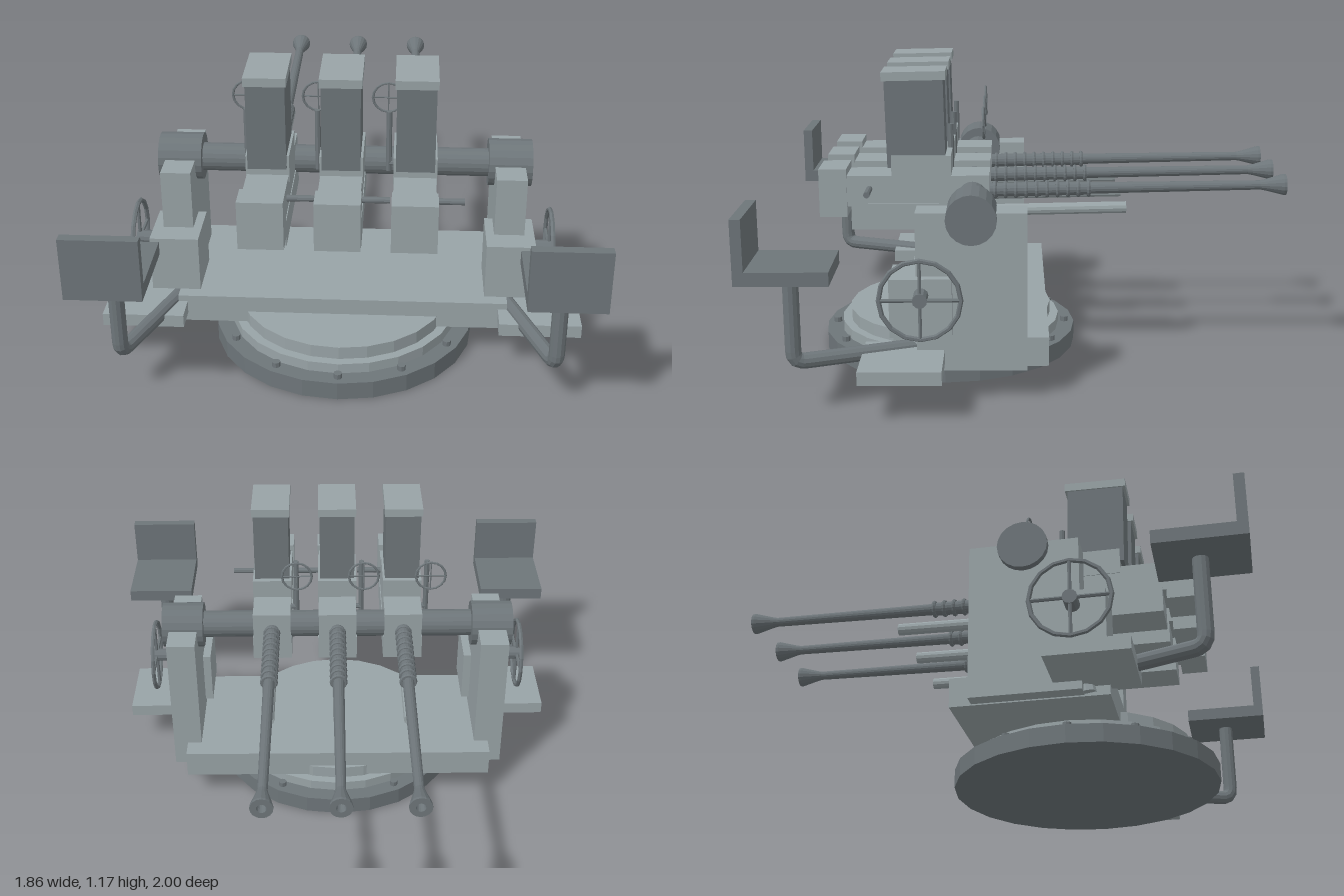
import * as THREE from 'three';

const light = new THREE.MeshStandardMaterial({ color: 0x98a3a6, flatShading: true });
const dark = new THREE.MeshStandardMaterial({ color: 0x6d7579, flatShading: true });

export function createModel() {
  const model = new THREE.Group();
  model.name = 'tripleGunMount';

  const add = (parent, name, geometry, material) => {
    const mesh = new THREE.Mesh(geometry, material);
    mesh.name = name;
    parent.add(mesh);
    return mesh;
  };
  // box given by its limits on each axis
  const box = (parent, name, x, y, z, material) => {
    const g = new THREE.BoxGeometry(x[1] - x[0], y[1] - y[0], z[1] - z[0]);
    g.translate((x[0] + x[1]) / 2, (y[0] + y[1]) / 2, (z[0] + z[1]) / 2);
    return add(parent, name, g, material);
  };
  // round bar between two points, radius r0 at a and r1 at b
  const rod = (parent, name, a, b, r0, r1, material, sides = 16) => {
    const p = new THREE.Vector3(...a), q = new THREE.Vector3(...b);
    const dir = q.clone().sub(p);
    const m = add(parent, name, new THREE.CylinderGeometry(r1, r0, dir.length(), sides), material);
    m.position.copy(p).add(q).multiplyScalar(0.5);
    m.quaternion.setFromUnitVectors(new THREE.Vector3(0, 1, 0), dir.normalize());
    return m;
  };
  const group = (parent, name, x = 0, y = 0, z = 0) => {
    const g = new THREE.Group();
    g.name = name;
    g.position.set(x, y, z);
    parent.add(g);
    return g;
  };
  // rim with a cross of spokes, facing z
  const spokedRing = (parent, name, radius, tube, spoke, sides) => {
    const g = group(parent, name);
    add(g, 'rim', new THREE.TorusGeometry(radius, tube, 6, sides), dark);
    rod(g, 'spokeUpright', [0, -radius, 0], [0, radius, 0], spoke, spoke, dark, 6);
    rod(g, 'spokeLevel', [-radius, 0, 0], [radius, 0, 0], spoke, spoke, dark, 6);
    return g;
  };

  // round base with bolts
  const base = group(model, 'base', 0, 0, 0.31);
  rod(base, 'baseDisc', [0, 0, 0], [0, 0.07, 0], 0.51, 0.51, dark, 24);
  rod(base, 'baseRing', [0, 0.07, 0], [0, 0.11, 0], 0.445, 0.445, light, 24);
  rod(base, 'turntable', [0, 0.11, 0], [0, 0.16, 0], 0.41, 0.41, light, 24);
  for (let i = 0; i < 12; i++) {
    const a = (i / 12) * Math.PI * 2, x = Math.sin(a) * 0.47, z = Math.cos(a) * 0.47;
    rod(base, 'baseBolt', [x, 0.06, z], [x, 0.09, z], 0.016, 0.016, dark, 8);
  }

  // platform and gun axle
  box(model, 'platform', [-0.635, 0.635], [0.115, 0.225], [-0.08, 0.49], light);
  rod(model, 'axle', [-0.56, 0.69, 0.205], [0.56, 0.69, 0.205], 0.055, 0.055, dark, 20);

  // upright, crew seat and handwheel on each side
  for (const s of [1, -1]) {
    const side = group(model, s > 0 ? 'leftStation' : 'rightStation');
    const sbox = (name, x0, x1, y, z, m) =>
      box(side, name, s > 0 ? [x0, x1] : [-x1, -x0], y, z, m);
    sbox('upright', 0.577, 0.692, [0.12, 0.71], [0, 0.4], light);
    rod(side, 'trunnion', [s * 0.553, 0.69, 0.2], [s * 0.72, 0.69, 0.2], 0.092, 0.092, dark, 20);
    sbox('gearbox', 0.545, 0.73, [0.26, 0.478], [0.27, 0.495], light);
    sbox('footPlate', 0.6, 0.91, [0.15, 0.2], [0.3, 0.595], light);

    rod(side, 'wheelShaft', [s * 0.72, 0.42, 0.38], [s * 0.8, 0.42, 0.38], 0.027, 0.027, dark, 12);
    const wheel = spokedRing(side, 'handwheel', 0.145, 0.009, 0.007, 16);
    wheel.position.set(s * 0.79, 0.42, 0.38);
    wheel.rotation.y = Math.PI / 2;

    // bent tube carrying the seat
    const path = new THREE.CurvePath();
    const v = (x, y, z) => new THREE.Vector3(s * x, y, z);
    const bend = [v(0.774, 0.193, 0.79), v(0.79, 0.193, 0.83), v(0.79, 0.235, 0.83)];
    path.add(new THREE.LineCurve3(v(0.63, 0.193, 0.4), bend[0]));
    path.add(new THREE.QuadraticBezierCurve3(...bend));
    path.add(new THREE.LineCurve3(bend[2], v(0.79, 0.53, 0.83)));
    add(side, 'seatTube', new THREE.TubeGeometry(path, 40, 0.029, 12), dark);
    rod(side, 'seatTubeFoot', [s * 0.63, 0.125, 0.41], [s * 0.63, 0.26, 0.39], 0.035, 0.025, light, 8);
    sbox('seatPan', 0.655, 0.93, [0.517, 0.567], [0.675, 1.0], dark);
    sbox('seatBack', 0.655, 0.93, [0.517, 0.752], [0.962, 1.0], dark);
  }

  // three identical guns
  for (const gx of [-0.27, 0, 0.27]) {
    const gun = group(model, 'gun', gx);
    const w = [-0.08, 0.08];
    box(gun, 'receiver', [-0.077, 0.077], [0.65, 0.768], [0.14, 0.7], light);
    box(gun, 'receiverUnderside', w, [0.56, 0.66], [0.14, 0.665], light);
    box(gun, 'rearBlock', [-0.082, 0.082], [0.61, 0.795], [0.68, 0.785], light);
    box(gun, 'magazineCollar', w, [0.74, 0.845], [0.285, 0.51], light);

    // magazine leans very slightly
    const magazine = group(gun, 'magazine', 0, 0.8, 0.415);
    magazine.rotation.x = 0.02;
    box(magazine, 'magazineBody', [-0.071, 0.071], [0, 0.335], [-0.11, 0.11], dark);
    box(magazine, 'magazineCap', [-0.077, 0.077], [0.33, 0.363], [-0.12, 0.12], light);

    // barrel with flared muzzle, recoil spring and lower tube
    const barrel = group(gun, 'barrelAssembly', 0, 0.695, 0.14);
    barrel.rotation.x = 0.016;
    rod(barrel, 'barrel', [0, 0, 0], [0, 0, -1.07], 0.025, 0.018, dark);
    rod(barrel, 'barrelSleeve', [0, 0, 0], [0, 0, -0.38], 0.028, 0.026, dark);
    const flare = [[0.018, 0], [0.022, 0.02], [0.041, 0.09], [0.041, 0.1], [0.018, 0.1], [0.014, 0.06], [0, 0.06]];
    const muzzle = add(barrel, 'muzzle',
      new THREE.LatheGeometry(flare.map(p => new THREE.Vector2(...p)), 16), dark);
    muzzle.rotation.x = -Math.PI / 2;
    muzzle.position.z = -1.04;
    for (let i = 0; i < 10; i++) {
      const coil = add(barrel, 'springCoil', new THREE.TorusGeometry(0.027, 0.008, 6, 16), dark);
      coil.position.z = -0.02 - i * 0.04;
    }
    rod(gun, 'lowerTube', [0, 0.615, 0.15], [0, 0.625, -0.385], 0.023, 0.023, light, 12);

    // cocking handle and sights
    rod(gun, 'cockingHandle', [0, 0.718, 0.595], [0.18, 0.718, 0.595], 0.012, 0.012, dark, 10);
    rod(gun, 'rearSightPost', [-0.1, 0.69, 0.292], [-0.1, 0.935, 0.292], 0.011, 0.011, dark, 8);
    rod(gun, 'sightPostMount', [-0.1, 0.72, 0.292], [-0.06, 0.72, 0.292], 0.011, 0.011, dark, 8);
    const sight = spokedRing(gun, 'ringSight', 0.06, 0.005, 0.003, 16);
    sight.position.set(-0.106, 0.937, 0.165);
    sight.rotation.x = 0.03;
  }
  return model;
}
